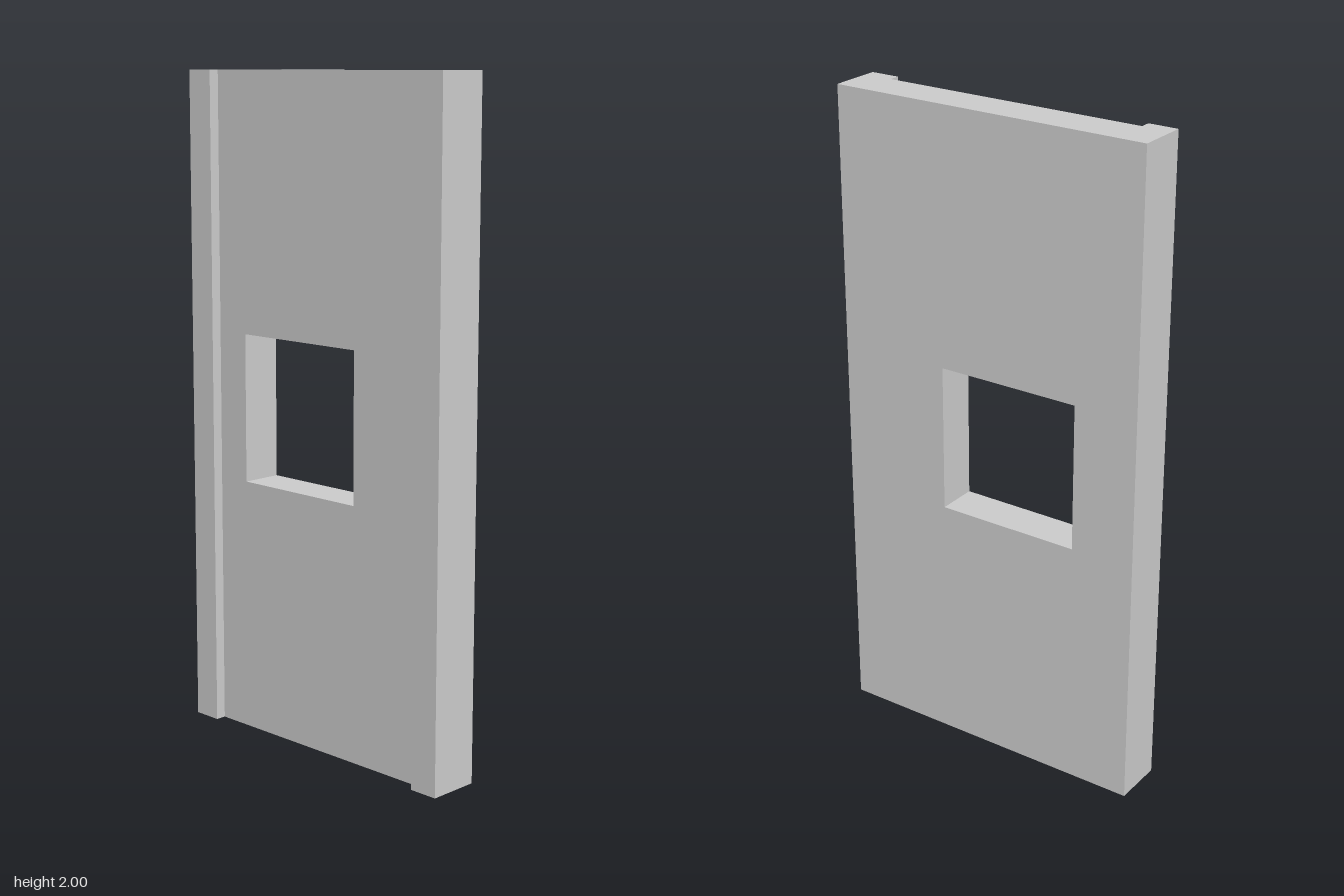
import * as THREE from 'three';

const HEIGHT = 2, HALF_WIDTH = 0.5, HALF_DEPTH = 0.079;
const RECESS_X = -0.047; // face of the slab between the edge strips
const STRIP_WIDTH = 0.09;

// Closed rectangle as a list of points
function rectangle(x0, y0, x1, y1) {
  return [[x0, y0], [x1, y0], [x1, y1], [x0, y1]].map(([x, y]) => new THREE.Vector2(x, y));
}

export function createModel() {
  const group = new THREE.Group();
  group.name = 'wallPanel';
  const material = new THREE.MeshStandardMaterial({ color: 0xcccccc });

  // Slab with an off-centre square opening; drawn in (-z, y), extruded along x
  const outline = new THREE.Shape(rectangle(-HALF_WIDTH, 0, HALF_WIDTH, HEIGHT));
  outline.holes.push(new THREE.Path(rectangle(-0.15, 0.775, 0.3, 1.225).reverse()));
  const slabGeometry = new THREE.ExtrudeGeometry(outline, {
    depth: HALF_DEPTH - RECESS_X,
    bevelEnabled: false,
  });
  slabGeometry.rotateY(Math.PI / 2).translate(RECESS_X, 0, 0);
  const slab = new THREE.Mesh(slabGeometry, material);
  slab.name = 'slab';
  group.add(slab);

  // Raised strips along both vertical edges
  const stripDepth = RECESS_X + HALF_DEPTH;
  for (const side of [-1, 1]) {
    const strip = new THREE.Mesh(new THREE.BoxGeometry(stripDepth, HEIGHT, STRIP_WIDTH), material);
    strip.name = side > 0 ? 'frontEdgeStrip' : 'backEdgeStrip';
    strip.position.set(-HALF_DEPTH + stripDepth / 2, HEIGHT / 2, side * (HALF_WIDTH - STRIP_WIDTH / 2));
    group.add(strip);
  }
  return group;
}
